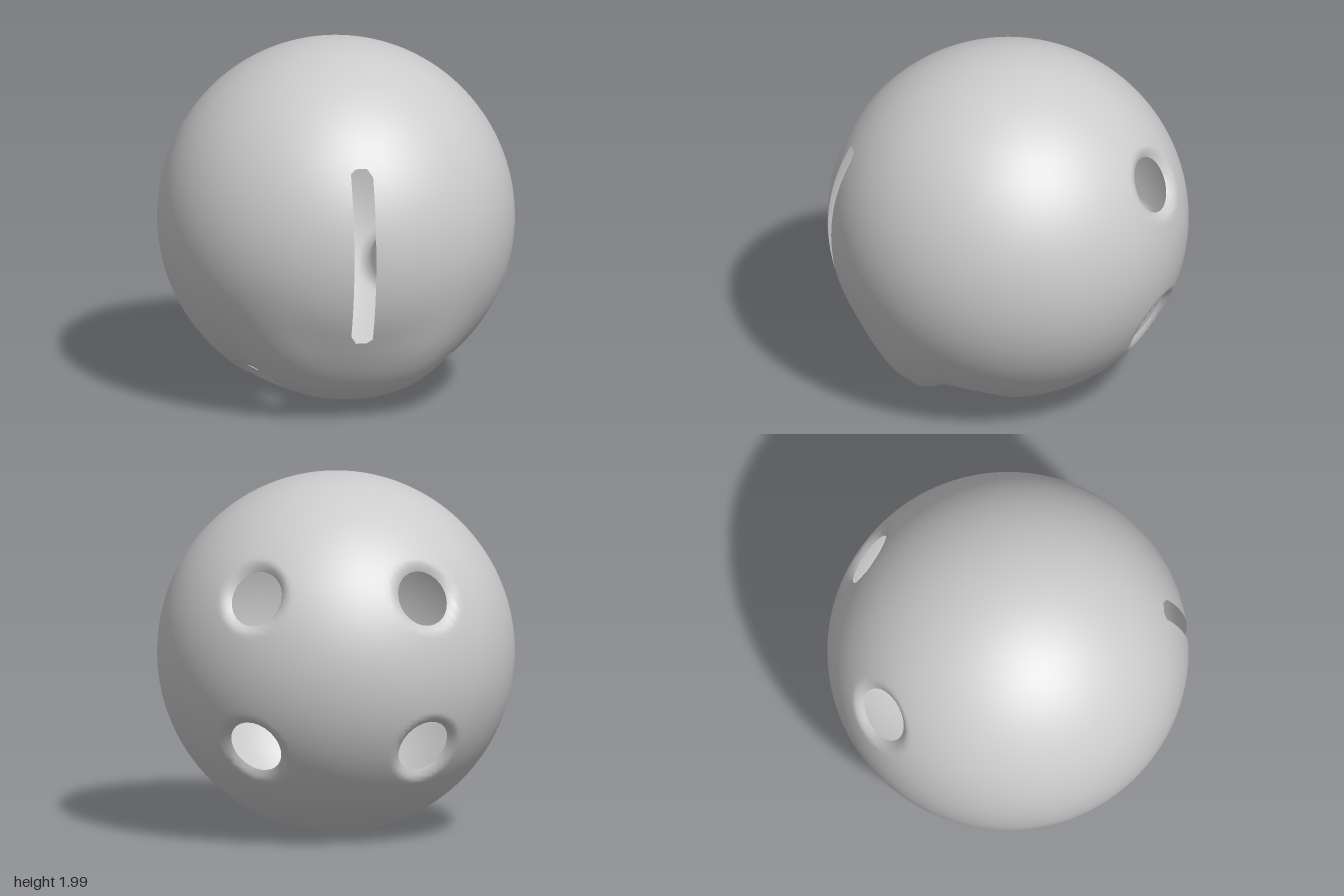
import * as THREE from 'three';
import { mergeVertices } from 'three/addons/utils/BufferGeometryUtils.js';

const smooth = THREE.MathUtils.smoothstep;
const HOLE_R = 0.165, RIM_R = 0.215, RIM_DIP = 0.055; // angles in radians, dip in units
const SLOT = { halfWidth: 0.062, halfHeight: 0.5 };

// Round holes: two upper and two lower at the back, two under the chin
const holes = [];
for (const side of [-1, 1]) {
  holes.push(new THREE.Vector3(side * 0.49, 0.42, -0.77).normalize());
  holes.push(new THREE.Vector3(side * 0.49, -0.45, -0.745).normalize());
  holes.push(new THREE.Vector3(side * 0.45, -0.85, 0.27).normalize());
}

// Snaps a direction inside the front slot to the slot's edge; true if it was inside
function openSlot(d) {
  const dx = SLOT.halfWidth - Math.abs(d.x), dy = SLOT.halfHeight - Math.abs(d.y);
  if (d.z < 0 || dx <= 0 || dy <= 0) return false;
  if (dx < dy) d.x = SLOT.halfWidth * (d.x < 0 ? -1 : 1);
  else d.y = SLOT.halfHeight * Math.sign(d.y);
  d.z = Math.sqrt(1 - d.x * d.x - d.y * d.y);
  return true;
}

// Snaps a direction inside a round hole to the hole's edge
function openHole(d, axis) {
  if (d.angleTo(axis) >= HOLE_R) return false;
  const out = d.clone().addScaledVector(axis, -d.dot(axis));
  if (out.lengthSq() < 1e-10) out.set(1, 0, 0).cross(axis);
  out.normalize();
  d.copy(axis).multiplyScalar(Math.cos(HOLE_R)).addScaledVector(out, Math.sin(HOLE_R));
  return true;
}

// Radius of the shell: rims turn inward at the holes, a ridge swells below the front
function shellRadius(d) {
  let r = 1;
  for (const axis of holes) {
    const t = 1 - smooth(d.angleTo(axis), HOLE_R - 0.03, RIM_R);
    r -= RIM_DIP * t;
  }
  const along = smooth(d.z, 0.39, 0.53) * (1 - smooth(d.z, 0.58, 0.9));
  const across = 1 - smooth(Math.abs(d.x), 0.25, 0.75);
  const below = smooth(-d.y, 0.2, 0.6);
  return r + 0.06 * along * across * below;
}

function shellGeometry() {
  let geo = new THREE.SphereGeometry(1, 180, 120);
  geo.deleteAttribute('uv');
  geo.deleteAttribute('normal');
  geo = mergeVertices(geo, 1e-5);

  const pos = geo.attributes.position;
  const owner = new Int16Array(pos.count).fill(-1); // which opening a vertex fell into
  const d = new THREE.Vector3();
  for (let i = 0; i < pos.count; i++) {
    d.fromBufferAttribute(pos, i).normalize();
    if (openSlot(d)) owner[i] = holes.length;
    holes.forEach((axis, k) => { if (openHole(d, axis)) owner[i] = k; });
    d.multiplyScalar(shellRadius(d));
    pos.setXYZ(i, d.x, d.y, d.z);
  }

  // Drop the faces that lie wholly inside an opening
  const kept = [], idx = geo.index;
  for (let i = 0; i < idx.count; i += 3) {
    const [a, b, c] = [idx.getX(i), idx.getX(i + 1), idx.getX(i + 2)];
    const inside = owner[a] >= 0 && owner[a] === owner[b] && owner[b] === owner[c];
    if (!inside) kept.push(a, b, c);
  }
  geo.setIndex(kept);
  geo.scale(0.986, 0.996, 0.996);
  geo.computeVertexNormals();
  return geo;
}

export function createModel() {
  const model = new THREE.Group();
  model.name = 'hollowBall';
  const material = new THREE.MeshStandardMaterial({ color: 0xcccccc, side: THREE.DoubleSide });
  const shell = new THREE.Mesh(shellGeometry(), material);
  shell.name = 'slottedShell';
  shell.position.y = 1;
  model.add(shell);
  return model;
}
